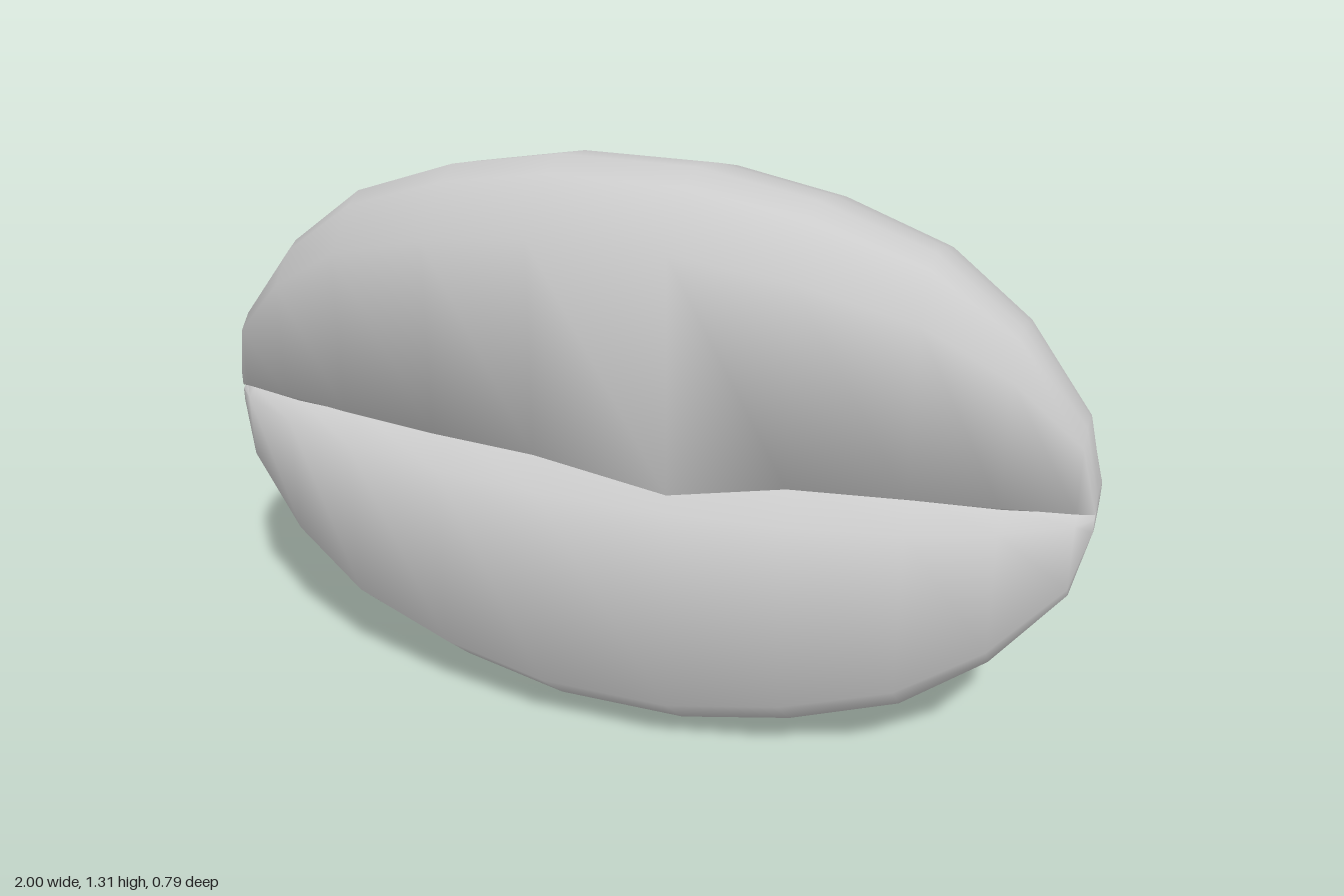
import * as THREE from 'three';
import { toCreasedNormals } from 'three/addons/utils/BufferGeometryUtils.js';

const MID = 0.655;

// Half of the stations along the bean, mirrored in x:
// [x, half height, front z, back z, lower lip y, groove bottom z]
const HALF = [
  [0.15, 0.655, 0.395, -0.395, 0.61, 0.27],
  [0.40, 0.608, 0.37, -0.352, 0.612, 0.265],
  [0.64, 0.523, 0.332, -0.27, 0.618, 0.255],
  [0.82, 0.385, 0.285, -0.16, 0.628, 0.235],
  [0.965, 0.2, 0.225, 0.0, 0.642, 0.2],
  [1.0, 0.045, 0.195, 0.05, 0.65, 0.175],
];

// Wavy upper lip height, from -x to +x
const UPPER_LIP = [0.66, 0.675, 0.695, 0.7, 0.7, 0.7, 0.655, 0.7, 0.7, 0.688, 0.67, 0.66];

// Lower half of the section: [height fraction, depth fraction (1 = front, 0 = back)]
const PROFILE = [
  [0.8, 1], [0.96, 0.855], [1, 0.775], [0.955, 0.59], [0.89, 0.41],
  [0.725, 0.245], [0.53, 0.13], [0.3, 0.05], [0.1, 0],
];

// One closed section: lower lip, round the back, upper lip, groove bottom
function section([x, h, front, back, lowerLip, grooveZ], upperLip) {
  const at = (u, t, side) => [x, MID + side * u * h, back + t * (front - back)];
  return [
    [x, lowerLip, front],
    ...PROFILE.map(([u, t]) => at(u, t, -1)),
    ...[...PROFILE].reverse().map(([u, t]) => at(u, t, 1)),
    [x, upperLip, front],
    [x, 0.66, grooveZ],
  ];
}

function beanGeometry() {
  const mirrored = [...HALF].reverse().map(([x, ...rest]) => [-x, ...rest]);
  const rings = [...mirrored, ...HALF].map((s, i) => section(s, UPPER_LIP[i]));
  const n = rings[0].length;
  const last = rings.length - 1;
  const points = rings.flat();
  const index = [];

  // Skin between neighbouring sections
  for (let i = 0; i < last; i++) {
    for (let j = 0; j < n; j++) {
      const k = (j + 1) % n;
      const a = i * n + j, b = i * n + k, c = b + n, d = a + n;
      index.push(a, b, c, a, c, d);
    }
  }

  // Small end caps
  for (const [ring, x] of [[0, -1], [last, 1]]) {
    const centre = points.push([x, MID, 0.12]) - 1;
    for (let j = 0; j < n; j++) {
      const a = ring * n + j, b = ring * n + ((j + 1) % n);
      if (x > 0) index.push(centre, a, b);
      else index.push(centre, b, a);
    }
  }

  const geometry = new THREE.BufferGeometry();
  geometry.setAttribute('position', new THREE.Float32BufferAttribute(points.flat(), 3));
  geometry.setIndex(index);
  return toCreasedNormals(geometry, 1.35);
}

export function createModel() {
  const group = new THREE.Group();
  group.name = 'coffeeBean';
  const bean = new THREE.Mesh(beanGeometry(), new THREE.MeshStandardMaterial({ color: 0xcccccc }));
  bean.name = 'beanBody';
  group.add(bean);
  return group;
}
